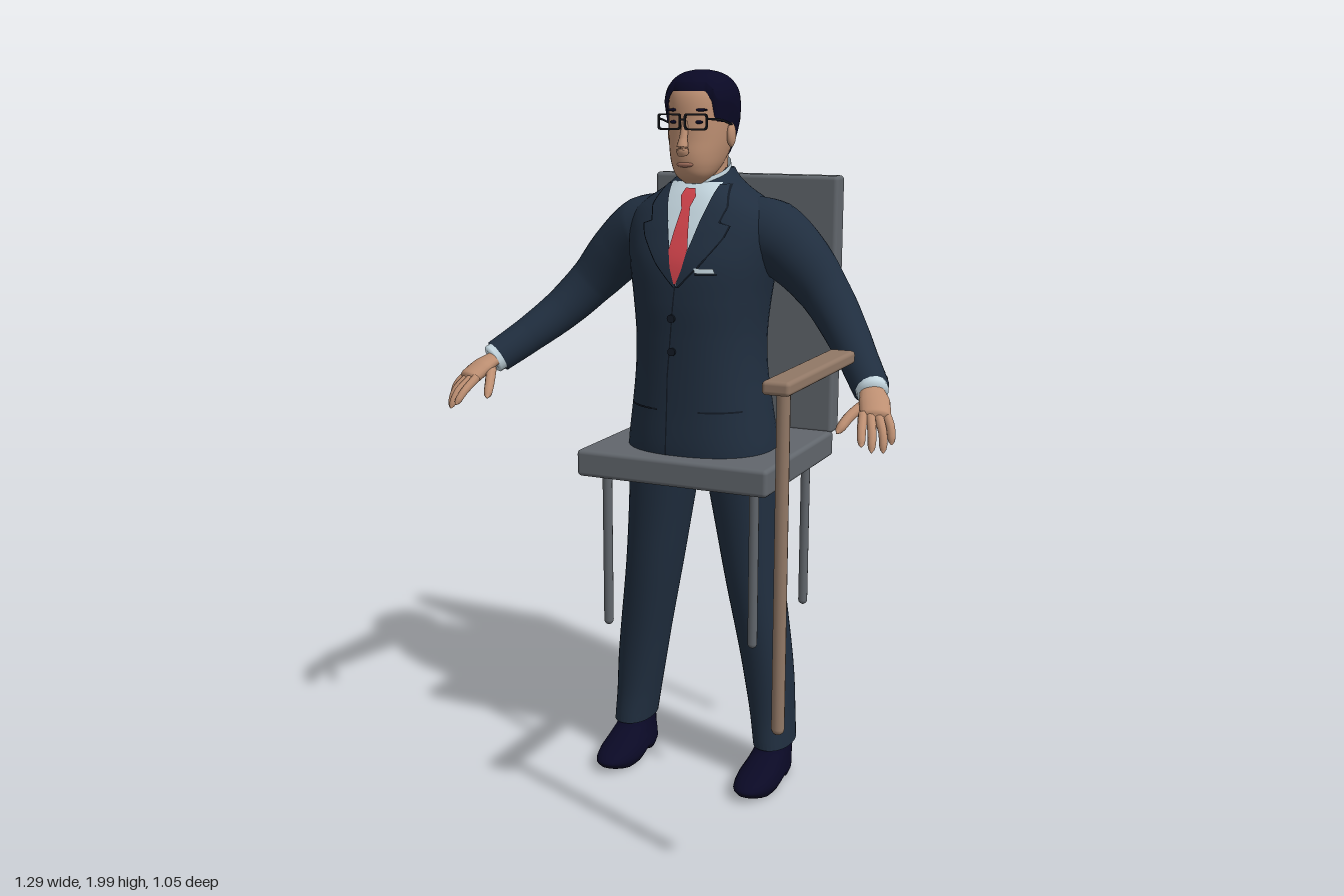
import * as THREE from 'three';
import { RoundedBoxGeometry } from 'three/addons/geometries/RoundedBoxGeometry.js';
import { ParametricGeometry } from 'three/addons/geometries/ParametricGeometry.js';

const mat = (name, color, side = THREE.FrontSide) => new THREE.MeshStandardMaterial({ name, color, side });
const M = {
  suit: mat('suit navy', 0x202e3f), seam: mat('seam dark', 0x121a25),
  hair: mat('hair and shoe black', 0x0a0925, THREE.DoubleSide), skin: mat('skin', 0xbd8f72),
  lip: mat('lip', 0xa06e5c), shirt: mat('shirt', 0xc3d5de, THREE.DoubleSide), tie: mat('tie red', 0xd2434b),
  chair: mat('chair grey', 0x61666c), wood: mat('wood', 0x917866), frame: mat('glasses black', 0x15171c),
};

// Piecewise linear lookup of column c against column 0
function lerpRows(rows, k, c) {
  let i = 0;
  while (i < rows.length - 2 && k > rows[i + 1][0]) i++;
  const t = THREE.MathUtils.clamp((k - rows[i][0]) / (rows[i + 1][0] - rows[i][0]), 0, 1);
  return rows[i][c] + (rows[i + 1][c] - rows[i][c]) * t;
}

// Smooth lookup of the rows [y, centreX, halfWidth, frontZ, backZ]
function section(rows, y) {
  let i = 0;
  while (i < rows.length - 2 && y > rows[i + 1][0]) i++;
  const h = rows[i + 1][0] - rows[i][0], t = THREE.MathUtils.clamp((y - rows[i][0]) / h, 0, 1);
  const slope = (j, c) => {
    const a = rows[Math.max(j - 1, 0)], b = rows[Math.min(j + 1, rows.length - 1)];
    return (b[c] - a[c]) / (b[0] - a[0]);
  };
  const [cx, rx, zf, zb] = [1, 2, 3, 4].map((c) =>
    (1 + 2 * t) * (1 - t) ** 2 * rows[i][c] + t * (1 - t) ** 2 * h * slope(i, c) +
    t * t * (3 - 2 * t) * rows[i + 1][c] + t * t * (t - 1) * h * slope(i + 1, c));
  return { cx, rx: Math.max(rx, 0.001), zc: (zf + zb) / 2, rz: Math.max((zf - zb) / 2, 0.001) };
}

// Point on a superelliptic section, angle 0 at the front
function ringPoint(rows, y, a, n, off, scale, p) {
  const q = section(rows, y), s = Math.sin(a), c = Math.cos(a);
  const k = scale / (Math.abs(s) ** n + Math.abs(c) ** n) ** (1 / n);
  return p.set(q.cx + (q.rx + off) * s * k, y, q.zc + (q.rz + off) * c * k);
}

// Closed body from horizontal sections
function loft(rows, n = 2, slices = 32, stacks = 40) {
  const y0 = rows[0][0], y1 = rows[rows.length - 1][0];
  return new ParametricGeometry((u, v, p) => {
    const t = THREE.MathUtils.clamp((v * stacks - 1) / (stacks - 2), 0, 1);
    ringPoint(rows, y0 + (y1 - y0) * t, (u * 2 - 1) * Math.PI, n, 0, v === 0 || v === 1 ? 0.001 : 1, p);
  }, slices, stacks);
}

// Closed tapering tube through points [x, y, z, radius]
function tube(pts, { flat = 1, round = false, slices = 14, stacks = 14 } = {}) {
  const curve = new THREE.CatmullRomCurve3(pts.map((p) => new THREE.Vector3(p[0], p[1], p[2])));
  const radii = pts.map((p, i) => [i / (pts.length - 1), p[3]]);
  const up = new THREE.Vector3(0, 1, 0);
  return new ParametricGeometry((u, v, p) => {
    const t = THREE.MathUtils.clamp((v * stacks - 1) / (stacks - 2), 0, 1), a = u * Math.PI * 2;
    const dir = curve.getTangent(t), side = dir.clone().cross(up).normalize(), n = dir.clone().cross(side);
    let r = lerpRows(radii, t, 1);
    if (round && t > 0.75) r *= Math.sqrt(Math.max(1 - ((t - 0.75) / 0.25) ** 2, 0.02));
    if (v === 0 || v === 1) r = 1e-4;
    p.copy(curve.getPoint(t)).addScaledVector(side, r * Math.cos(a)).addScaledVector(n, r * flat * Math.sin(a));
  }, slices, stacks);
}

const TORSO = [
  [0.94, 0, 0.212, -0.005, -0.355], [1.0, 0, 0.208, 0, -0.358], [1.1, 0, 0.194, -0.002, -0.348],
  [1.2, 0, 0.181, -0.002, -0.336], [1.3, 0, 0.178, 0, -0.338], [1.4, 0, 0.187, 0.003, -0.348],
  [1.5, 0, 0.203, -0.005, -0.353], [1.58, 0, 0.213, -0.035, -0.346], [1.63, 0, 0.2, -0.06, -0.333],
  [1.66, 0, 0.168, -0.077, -0.322], [1.69, 0, 0.12, -0.097, -0.305], [1.72, 0, 0.085, -0.125, -0.287], [1.745, 0, 0.068, -0.16, -0.272]];
const TN = 2.3;
function frontZ(x, y) {
  const q = section(TORSO, y);
  return q.zc + q.rz * Math.max(1 - Math.abs(x / q.rx) ** TN, 0) ** (1 / TN);
}
// Thin cloth lying on the chest, rows [y, left x, right x]
const drape = (rows, off) => new ParametricGeometry((u, v, p) => {
  const y = rows[0][0] + (rows[rows.length - 1][0] - rows[0][0]) * v;
  const x = lerpRows(rows, y, 1) * (1 - u) + lerpRows(rows, y, 2) * u;
  p.set(x, y, frontZ(x, y) + off);
}, 8, 28);

const SKULL = [
  [1.706, 0, 0.022, -0.088, -0.13], [1.725, 0, 0.046, -0.063, -0.17], [1.75, 0, 0.061, -0.051, -0.21],
  [1.78, 0, 0.071, -0.047, -0.243], [1.82, 0, 0.079, -0.05, -0.265], [1.87, 0, 0.083, -0.052, -0.277],
  [1.92, 0, 0.083, -0.056, -0.277], [1.95, 0, 0.076, -0.068, -0.265], [1.975, 0, 0.057, -0.095, -0.235],
  [1.988, 0, 0.034, -0.125, -0.2], [1.994, 0, 0.006, -0.155, -0.168]];
const HAIRLINE = [[0, 1.945], [0.6, 1.945], [0.78, 1.92], [0.9, 1.868], [1.3, 1.865], [1.55, 1.85], [1.9, 1.8], [2.4, 1.775], [3.15, 1.765]];

export function createModel() {
  const root = new THREE.Group();
  root.name = 'manWithChair';
  const group = (name) => { const g = new THREE.Group(); g.name = name; root.add(g); return g; };
  const add = (parent, name, geo, material, x = 0, y = 0, z = 0) => {
    const m = new THREE.Mesh(geo, material);
    m.name = name; m.position.set(x, y, z); parent.add(m);
    return m;
  };

  // Chair
  const chair = group('chair');
  add(chair, 'seat', new RoundedBoxGeometry(0.566, 0.075, 0.53, 3, 0.012), M.chair, 0, 0.943, -0.215);
  add(chair, 'backrest', new RoundedBoxGeometry(0.566, 0.74, 0.066, 3, 0.012), M.chair, 0, 1.343, -0.491);
  for (const x of [-0.222, 0.222]) for (const z of [-0.018, -0.415])
    add(chair, 'chairLeg', new THREE.CapsuleGeometry(0.0135, 0.44, 4, 12), M.chair, x, 0.69, z);

  // Side rail on a post
  const rail = group('sideRail');
  add(rail, 'railTop', new RoundedBoxGeometry(0.068, 0.033, 0.462, 3, 0.01), M.wood, 0.487, 1.304, 0.294);
  add(rail, 'railPost', new THREE.CapsuleGeometry(0.016, 0.81, 4, 14), M.wood, 0.487, 0.876, 0.47);

  // Jacket
  const suit = group('suit');
  add(suit, 'jacket', loft(TORSO, TN, 48, 60), M.suit);
  add(suit, 'shirtFront', drape([[1.445, -0.004, 0.002], [1.6, -0.046, 0.046], [1.71, -0.074, 0.074]], 0.003), M.shirt);
  add(suit, 'tieBlade', drape([[1.45, -0.004, 0.002], [1.49, -0.017, 0.017], [1.54, -0.027, 0.027], [1.645, -0.012, 0.012]], 0.009), M.tie);
  add(suit, 'tieKnot', drape([[1.645, -0.012, 0.012], [1.675, -0.022, 0.022], [1.695, -0.014, 0.014]], 0.012), M.tie);
  add(suit, 'closure', drape([[0.95, -0.036, -0.032], [1.2, -0.03, -0.026], [1.44, -0.006, -0.002]], 0.002), M.seam);
  const lapel = [[1.44, 0, 0.004], [1.5, 0.016, 0.062], [1.57, 0.036, 0.113], [1.605, 0.045, 0.125], [1.61, 0.046, 0.096], [1.65, 0.058, 0.108], [1.705, 0.071, 0.09]];
  for (const s of [-1, 1]) {
    const side = (rows) => rows.map(([y, a, b]) => [y, Math.min(a * s, b * s), Math.max(a * s, b * s)]);
    add(suit, 'lapelEdge', drape(side(lapel.map(([y, a, b]) => [y, a, b + 0.004])), 0.004), M.seam);
    add(suit, 'lapel', drape(side(lapel), 0.008), M.suit);
    add(suit, 'pocketSeam', drape(side([[1.103, 0.06, 0.165], [1.108, 0.06, 0.165]]), 0.003), M.seam);
  }
  add(suit, 'breastPocket', drape([[1.474, 0.052, 0.108], [1.48, 0.052, 0.108]], 0.004), M.seam);
  add(suit, 'pocketSquare', drape([[1.48, 0.054, 0.106], [1.493, 0.05, 0.1]], 0.009), M.shirt);
  for (const y of [1.357, 1.267])
    add(suit, 'jacketButton', new THREE.CylinderGeometry(0.011, 0.011, 0.008, 16), M.seam, -0.013, y, frontZ(-0.013, y) + 0.003).rotation.x = Math.PI / 2;

  // Shirt collar, rising towards the nape
  add(suit, 'shirtCollar', new ParametricGeometry((u, v, p) => {
    const a = (u * 2 - 1) * Math.PI, back = (1 - Math.cos(a)) / 2, r = 1 - 0.07 * v;
    p.set(0.073 * r * Math.sin(a), 1.668 + 0.06 * back + v * 0.05, -0.185 + 0.083 * r * Math.cos(a));
  }, 36, 4), M.shirt);

  // Arms, hands, legs and shoes
  const tips = [
    [[0.56, 1.172, 0.112], [0.572, 1.14, 0.158], [0.582, 1.107, 0.188]],
    [[0.578, 1.17, 0.108], [0.597, 1.135, 0.152], [0.605, 1.093, 0.178]],
    [[0.595, 1.17, 0.1], [0.618, 1.133, 0.132], [0.626, 1.088, 0.15]],
    [[0.608, 1.175, 0.085], [0.63, 1.143, 0.107], [0.637, 1.103, 0.118]],
    [[0.55, 1.19, 0.05], [0.522, 1.16, 0.105], [0.505, 1.125, 0.148]]];
  for (const s of [-1, 1]) {
    const flip = (pts) => pts.map(([x, ...r]) => [x * s, ...r]);
    const arm = group(s > 0 ? 'leftArm' : 'rightArm');
    add(arm, 'sleeve', tube(flip([[0.1, 1.58, -0.2, 0.095], [0.19, 1.562, -0.205, 0.1], [0.27, 1.505, -0.203, 0.085],
      [0.35, 1.42, -0.188, 0.068], [0.42, 1.342, -0.14, 0.059], [0.49, 1.272, -0.06, 0.051], [0.548, 1.218, 0.015, 0.047]]), { slices: 28, stacks: 44 }), M.suit);
    add(arm, 'shirtCuff', tube(flip([[0.54, 1.225, 0.003, 0.041], [0.557, 1.211, 0.028, 0.041]])), M.shirt);
    for (const k of [0, 1, 2])
      add(arm, 'sleeveButton', new THREE.SphereGeometry(0.007, 10, 8), M.seam, s * (0.547 + k * 0.011), 1.257 - k * 0.01, -0.062 + k * 0.014);
    add(arm, 'palm', tube(flip([[0.55, 1.217, 0.018, 0.03], [0.572, 1.195, 0.06, 0.039], [0.587, 1.172, 0.098, 0.038], [0.592, 1.163, 0.112, 0.032]]), { flat: 0.55, round: true, slices: 18 }), M.skin);
    tips.forEach((f, i) => add(arm, i < 4 ? 'finger' : 'thumb',
      tube(flip(f.map((q, j) => [...q, (i < 4 ? 0.0125 : 0.015) - j * 0.0015])), { round: true, slices: 10 }), M.skin));

    const leg = group(s > 0 ? 'leftLeg' : 'rightLeg');
    add(leg, 'trouserLeg', loft(flip([[0.112, 0.224, 0.055, -0.108, -0.286], [0.2, 0.215, 0.06, -0.115, -0.287], [0.3, 0.204, 0.067, -0.114, -0.287],
      [0.4, 0.19, 0.071, -0.108, -0.288], [0.6, 0.158, 0.078, -0.09, -0.291], [0.75, 0.138, 0.086, -0.08, -0.293],
      [0.9, 0.12, 0.096, -0.07, -0.296], [0.96, 0.115, 0.1, -0.07, -0.3]].map(([y, x, ...r]) => [x, y, ...r])).map(([x, y, ...r]) => [y, x, ...r]), 2.2), M.suit);
    const shoe = loft([[0.008, s * 0.218, 0.052, 0.015, -0.265], [0.03, s * 0.218, 0.061, 0.03, -0.274], [0.055, s * 0.219, 0.058, 0.012, -0.276],
      [0.075, s * 0.221, 0.052, -0.05, -0.276], [0.1, s * 0.222, 0.047, -0.115, -0.274], [0.135, s * 0.222, 0.044, -0.13, -0.27]], 2.3, 32, 24);
    // Arch under the instep and a slightly lifted toe
    const p = shoe.attributes.position;
    for (let i = 0; i < p.count; i++) {
      const z = p.getZ(i), low = Math.max(0, 1 - p.getY(i) / 0.05);
      p.setY(i, p.getY(i) + low * (0.022 * Math.exp(-(((z + 0.15) / 0.025) ** 2)) + 0.02 * Math.max(0, (z + 0.04) / 0.07)));
    }
    shoe.computeVertexNormals();
    add(leg, 'shoe', shoe, M.hair);
  }

  // Head
  const head = group('head');
  add(head, 'neck', loft([[1.64, 0, 0.062, -0.115, -0.255], [1.74, 0, 0.06, -0.118, -0.252], [1.82, 0, 0.062, -0.11, -0.255]], 2, 28, 12), M.skin);
  add(head, 'face', loft(SKULL, 2.15, 40, 60), M.skin);
  add(head, 'hairCap', new ParametricGeometry((u, v, p) => {
    const a = (u * 2 - 1) * Math.PI, low = lerpRows(HAIRLINE, Math.abs(a), 1);
    const t = Math.sin(v * Math.PI / 2);
    ringPoint(SKULL, low + (1.994 - low) * t, a, 2.15, 0.003 + 0.008 * Math.min(1, v * 4), v === 1 ? 0.001 : 1, p);
    p.y += 0.006 * t;
  }, 72, 28), M.hair);
  add(head, 'nose', tube([[0, 1.868, -0.056, 0.008], [0, 1.825, -0.043, 0.011], [0, 1.797, -0.036, 0.017], [0, 1.785, -0.042, 0.015]], { slices: 16 }), M.skin);
  add(head, 'mouth', new THREE.SphereGeometry(1, 16, 10), M.lip, 0, 1.757, -0.052).scale.set(0.024, 0.007, 0.007);

  // One glasses rim as a plate with a hole
  const rect = (T, w, h) => {
    const q = new T();
    q.moveTo(-w, -h * 0.5).quadraticCurveTo(-w, -h, -w * 0.7, -h).lineTo(w * 0.7, -h).quadraticCurveTo(w, -h, w, -h * 0.5);
    return q.lineTo(w, h * 0.6).quadraticCurveTo(w, h, w * 0.8, h).lineTo(-w * 0.8, h).quadraticCurveTo(-w, h, -w, h * 0.6);
  };
  const rim = rect(THREE.Shape, 0.033, 0.021);
  rim.holes.push(rect(THREE.Path, 0.0285, 0.0165));
  const rimGeo = new THREE.ExtrudeGeometry(rim, { depth: 0.006, bevelEnabled: false, curveSegments: 6 });
  for (const s of [-1, 1]) {
    add(head, 'ear', new THREE.SphereGeometry(1, 14, 12), M.skin, s * 0.086, 1.832, -0.16).scale.set(0.011, 0.032, 0.02);
    add(head, 'eye', new THREE.SphereGeometry(1, 12, 8), M.hair, s * 0.035, 1.866, -0.061).scale.set(0.013, 0.0045, 0.005);
    add(head, 'eyebrow', new THREE.SphereGeometry(1, 12, 8), M.hair, s * 0.037, 1.897, -0.064).scale.set(0.023, 0.004, 0.006);
    add(head, 'glassesRim', rimGeo, M.frame, s * 0.038, 1.867, -0.04);
    add(head, 'glassesTemple', tube([[s * 0.07, 1.875, -0.038, 0.003], [s * 0.084, 1.872, -0.09, 0.003], [s * 0.089, 1.858, -0.16, 0.003]], { slices: 8 }), M.frame);
  }
  add(head, 'glassesBridge', new THREE.BoxGeometry(0.014, 0.005, 0.006), M.frame, 0, 1.873, -0.037);
  return root;
}
